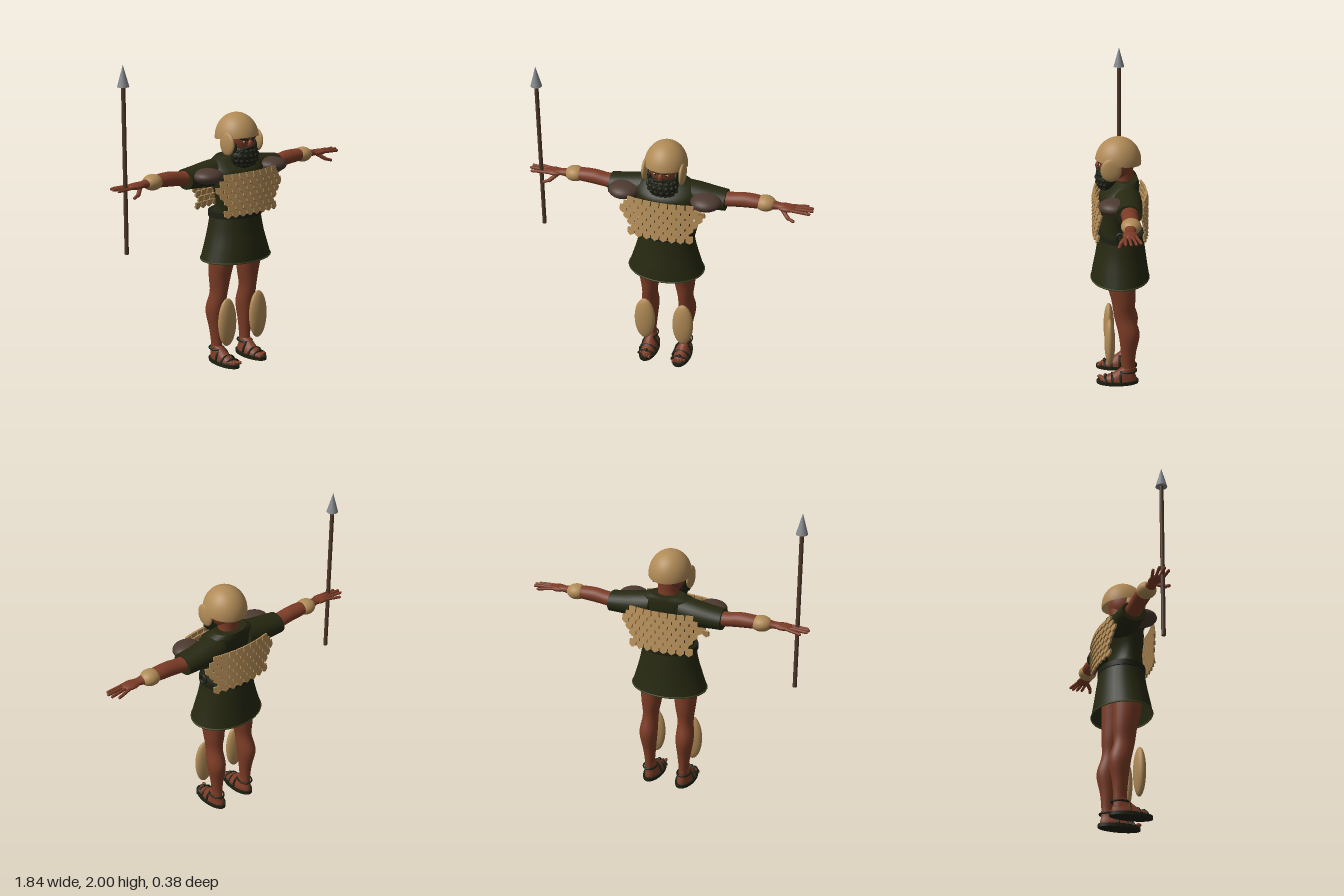
import * as THREE from 'three';

const mat = (name, color, side = THREE.FrontSide) => {
  const m = new THREE.MeshStandardMaterial({ color, side });
  m.name = name;
  return m;
};

// Smooth skin through elliptical sections [t, a, b, ra, rb], along y (a = x, b = z) or x (a = y, b = z)
function loft(sections, axis = 'y', capped = true, steps = 5, n = 28) {
  const mid = new THREE.CatmullRomCurve3(sections.map(s => new THREE.Vector3(s[0], s[1], s[2])), false, 'catmullrom', 0.5);
  const rad = new THREE.CatmullRomCurve3(sections.map(s => new THREE.Vector3(s[3], s[4], 0)), false, 'catmullrom', 0.5);
  const rows = (sections.length - 1) * steps, pos = [], idx = [];
  const put = (t, a, b) => (axis === 'y' ? pos.push(a, t, b) : pos.push(t, a, b));
  const tri = (a, b, c) => (axis === 'y' ? idx.push(a, b, c) : idx.push(a, c, b));
  const ring = (u) => {
    const c = mid.getPoint(u), r = rad.getPoint(u), start = pos.length / 3;
    for (let i = 0; i < n; i++) {
      const w = (i / n) * Math.PI * 2;
      put(c.x, c.y + r.x * Math.cos(w), c.z + r.y * Math.sin(w));
    }
    return start;
  };
  for (let j = 0; j <= rows; j++) ring(j / rows);
  for (let j = 0; j < rows; j++) for (let i = 0; i < n; i++) {
    const k = (i + 1) % n, a = j * n + i, b = j * n + k;
    tri(a, a + n, b);
    tri(b, a + n, b + n);
  }
  if (capped) for (const u of [0, 1]) {
    const s = ring(u), c = mid.getPoint(u), hub = pos.length / 3;
    put(c.x, c.y, c.z);
    for (let i = 0; i < n; i++) {
      const k = (i + 1) % n;
      if (u) tri(hub, s + k, s + i); else tri(hub, s + i, s + k);
    }
  }
  const g = new THREE.BufferGeometry();
  g.setAttribute('position', new THREE.Float32BufferAttribute(pos, 3));
  g.setIndex(idx);
  g.computeVertexNormals();
  return g;
}

// Mirrored copy across x with its winding repaired
function mirrored(g) {
  const m = g.clone().scale(-1, 1, 1), ix = m.index.array;
  for (let i = 0; i < ix.length; i += 3) [ix[i], ix[i + 1]] = [ix[i + 1], ix[i]];
  m.computeVertexNormals();
  return m;
}

export function createModel() {
  const root = new THREE.Group();
  root.name = 'spearman';
  const bronze = mat('bronze', 0xb08a56, THREE.DoubleSide), skin = mat('skin', 0x7c3c26);
  const cloth = mat('olive cloth', 0x262811, THREE.DoubleSide), trim = mat('hem trim', 0x3c4522);
  const hair = mat('dark hair', 0x1d2013), leather = mat('brown leather', 0x4c3a30);
  const wood = mat('shaft wood', 0x4f382a), steel = mat('steel', 0x85898d), white = mat('eye white', 0xb8b0a0);

  const add = (name, geo, m, x = 0, y = 0, z = 0) => {
    const o = new THREE.Mesh(geo, m);
    o.name = name;
    o.position.set(x, y, z);
    root.add(o);
    return o;
  };
  const ball = (name, m, p, r, seg = 28) =>
    add(name, new THREE.SphereGeometry(1, seg, Math.round(seg * 0.7)).scale(...r), m, ...p);
  const rod = (name, m, p, q, r) => {
    const a = new THREE.Vector3(...p), d = new THREE.Vector3(...q).sub(a), len = d.length();
    const o = add(name, new THREE.CapsuleGeometry(r, len, 4, 10), m);
    o.position.copy(a).addScaledVector(d, 0.5);
    o.quaternion.setFromUnitVectors(new THREE.Vector3(0, 1, 0), d.normalize());
    return o;
  };
  const pair = (name, geo, m) => {
    add('left' + name, geo, m);
    add('right' + name, mirrored(geo), m);
  };

  // Tunic
  add('tunicBody', loft([[1.0, 0, 0, 0.165, 0.125], [1.05, 0, 0.018, 0.16, 0.108], [1.12, 0, 0.022, 0.17, 0.1],
    [1.2, 0, 0.015, 0.19, 0.115], [1.27, 0, 0.005, 0.2, 0.12], [1.325, 0, -0.025, 0.18, 0.092],
    [1.36, 0, -0.04, 0.115, 0.072]]), cloth);
  add('tunicSkirt', loft([[0.7, 0, 0, 0.248, 0.188], [0.78, 0, 0, 0.222, 0.175], [0.88, 0, -0.003, 0.193, 0.158],
    [0.99, 0, -0.003, 0.172, 0.142]], 'y', false), cloth);
  add('skirtHem', new THREE.TorusGeometry(1, 0.018, 6, 48).rotateX(Math.PI / 2).scale(0.247, 0.3, 0.187), trim, 0, 0.702, 0);
  add('belt', loft([[0.977, 0, -0.003, 0.188, 0.148], [1.012, 0, -0.003, 0.188, 0.148]]), hair);
  add('beltLoop', new THREE.TorusGeometry(0.028, 0.008, 8, 20).rotateY(Math.PI / 2), hair, 0.185, 1.03, 0.0);
  pair('Sleeve', loft([[0.1, 1.262, -0.035, 0.088, 0.09], [0.2, 1.255, -0.04, 0.082, 0.09],
    [0.3, 1.25, -0.042, 0.07, 0.084], [0.375, 1.246, -0.042, 0.064, 0.08]], 'x'), cloth);

  // Head, face and beard
  add('neck', loft([[1.3, 0, -0.025, 0.08, 0.06], [1.37, 0, -0.018, 0.066, 0.062], [1.46, 0, -0.005, 0.072, 0.08]]), skin);
  ball('head', skin, [0, 1.475, 0.025], [0.1, 0.125, 0.113]);
  ball('nose', skin, [0, 1.448, 0.137], [0.016, 0.026, 0.018], 14);
  ball('beard', hair, [0, 1.365, 0.085], [0.098, 0.078, 0.068]);
  for (const s of [-1, 1]) {
    ball('eye', white, [0.035 * s, 1.462, 0.126], [0.013, 0.007, 0.007], 12);
    ball('pupil', hair, [0.035 * s, 1.462, 0.132], [0.006, 0.006, 0.003], 10);
    rod('eyebrow', hair, [0.014 * s, 1.474, 0.134], [0.058 * s, 1.482, 0.118], 0.007);
    rod('moustache', hair, [0.008 * s, 1.424, 0.136], [0.06 * s, 1.408, 0.113], 0.013);
    ball('sideburn', hair, [0.082 * s, 1.42, 0.06], [0.022, 0.05, 0.045], 16);
  }
  // Curls over the beard
  for (let j = 0; j < 4; j++) for (let i = 0; i < 7; i++) {
    const u = (i - 3) * 0.42 + (j % 2) * 0.1, v = -0.75 + j * 0.42;
    ball('beardCurl', hair, [0.092 * Math.sin(u) * Math.cos(v), 1.365 + 0.072 * Math.sin(v),
      0.085 + 0.062 * Math.cos(u) * Math.cos(v)], [0.016, 0.014, 0.013], 8);
  }

  // Helmet
  const dome = new THREE.SphereGeometry(1, 36, 16, 0, Math.PI * 2, 0, Math.PI / 2).scale(0.134, 0.155, 0.144);
  add('helmetDome', dome, bronze, 0, 1.474, 0.012).rotation.x = -0.12;
  for (const s of [-1, 1]) ball('helmetCheek', bronze, [0.118 * s, 1.449, 0.058], [0.02, 0.073, 0.065]);

  // Scale armour, front and back
  const plate = new THREE.Shape([[-0.024, 0.024], [0.024, 0.024], [0.024, -0.01], [0, -0.026], [-0.024, -0.01]]
    .map(p => new THREE.Vector2(...p)));
  const plateGeo = new THREE.ExtrudeGeometry(plate, { depth: 0.012, bevelEnabled: false }).translate(0, 0, -0.006).rotateX(-0.22);
  for (const side of [1, -1]) [8, 9, 10, 9, 8, 7, 8].forEach((count, row) => {
    for (let i = 0; i < count; i++) {
      const x = (i - (count - 1) / 2) * 0.054;
      const o = add(side > 0 ? 'frontScale' : 'backScale', plateGeo, bronze, x, 1.256 - row * 0.038,
        side * (0.168 - 0.6 * x * x));
      o.rotation.y = side > 0 ? Math.atan(1.2 * x) : Math.PI - Math.atan(1.2 * x);
    }
  });

  // Arms and legs
  pair('Arm', loft([[0.3, 1.25, -0.045, 0.05, 0.058], [0.4, 1.255, -0.045, 0.044, 0.052], [0.48, 1.265, -0.045, 0.046, 0.05],
    [0.56, 1.268, -0.045, 0.042, 0.05], [0.64, 1.267, -0.042, 0.033, 0.04], [0.7, 1.266, -0.038, 0.021, 0.03],
    [0.74, 1.266, -0.035, 0.02, 0.034]], 'x'), skin);
  pair('Leg', loft([[0.05, 0.12, -0.05, 0.034, 0.045], [0.12, 0.12, -0.05, 0.031, 0.042], [0.22, 0.122, -0.051, 0.042, 0.049],
    [0.35, 0.127, -0.054, 0.058, 0.068], [0.47, 0.122, -0.025, 0.05, 0.066], [0.58, 0.118, -0.018, 0.066, 0.076],
    [0.7, 0.114, -0.005, 0.077, 0.091], [0.9, 0.1, 0, 0.085, 0.1]]), skin);
  pair('Foot', loft([[0.015, 0.115, 0.018, 0.052, 0.122], [0.04, 0.115, 0.008, 0.047, 0.11],
    [0.07, 0.118, -0.022, 0.038, 0.072], [0.11, 0.12, -0.05, 0.032, 0.043]]), skin);

  for (const s of [-1, 1]) {
    // Shoulder pads, bracers and greaves
    ball('shoulderPad', leather, [0.265 * s, 1.265, 0.045], [0.098, 0.048, 0.095]);
    ball('bracer', bronze, [0.62 * s, 1.266, -0.045], [0.066, 0.049, 0.06]);
    ball('greave', bronze, [0.13 * s, 0.295, 0.07], [0.07, 0.159, 0.035]);

    // Hands
    ball('palm', skin, [0.755 * s, 1.264, -0.034], [0.062, 0.02, 0.044], 18);
    [[0.875, -0.092], [0.908, -0.064], [0.913, -0.034], [0.898, -0.004]].forEach(([x, z], i) => {
      rod('finger', skin, [0.775 * s, 1.265, -0.064 + i * 0.02], [x * s, 1.268 - 0.006 * Math.abs(i - 1.5), z], 0.0095);
    });
    rod('thumb', skin, [0.73 * s, 1.255, -0.02], [0.775 * s, 1.222, 0.018], 0.013);
    rod('thumbTip', skin, [0.775 * s, 1.222, 0.018], [0.81 * s, 1.212, 0.03], 0.01);

    // Sandals
    add('sandalSole', new THREE.CylinderGeometry(1, 1, 0.022, 32).scale(0.063, 1, 0.136), hair, 0.115 * s, 0.011, 0.02);
    for (let i = 0; i < 5; i++) {
      ball('toe', skin, [(0.083 + i * 0.017) * s, 0.03, 0.135 - i * 0.009], [0.01, 0.012, 0.018], 10);
    }
    for (const [z, r, h] of [[0.1, 0.053, 0.035], [0.055, 0.057, 0.048], [0.0, 0.054, 0.075]]) {
      add('sandalStrap', new THREE.TorusGeometry(1, 0.13, 8, 24, Math.PI).scale(r, h, 0.055), hair, 0.115 * s, 0.014, z);
    }
    add('ankleStrap', new THREE.TorusGeometry(1, 0.12, 8, 24).rotateX(Math.PI / 2).scale(0.043, 0.06, 0.054), hair, 0.12 * s, 0.088, -0.048);
    ball('sandalKnot', hair, [0.115 * s, 0.052, 0.1], [0.014, 0.012, 0.012], 10);
  }

  // Spear
  add('spearShaft', new THREE.CylinderGeometry(0.013, 0.013, 1.01, 16), wood, -0.84, 1.367, -0.02);
  add('spearHead', new THREE.ConeGeometry(0.036, 0.13, 20), steel, -0.84, 1.935, -0.02);
  return root;
}
